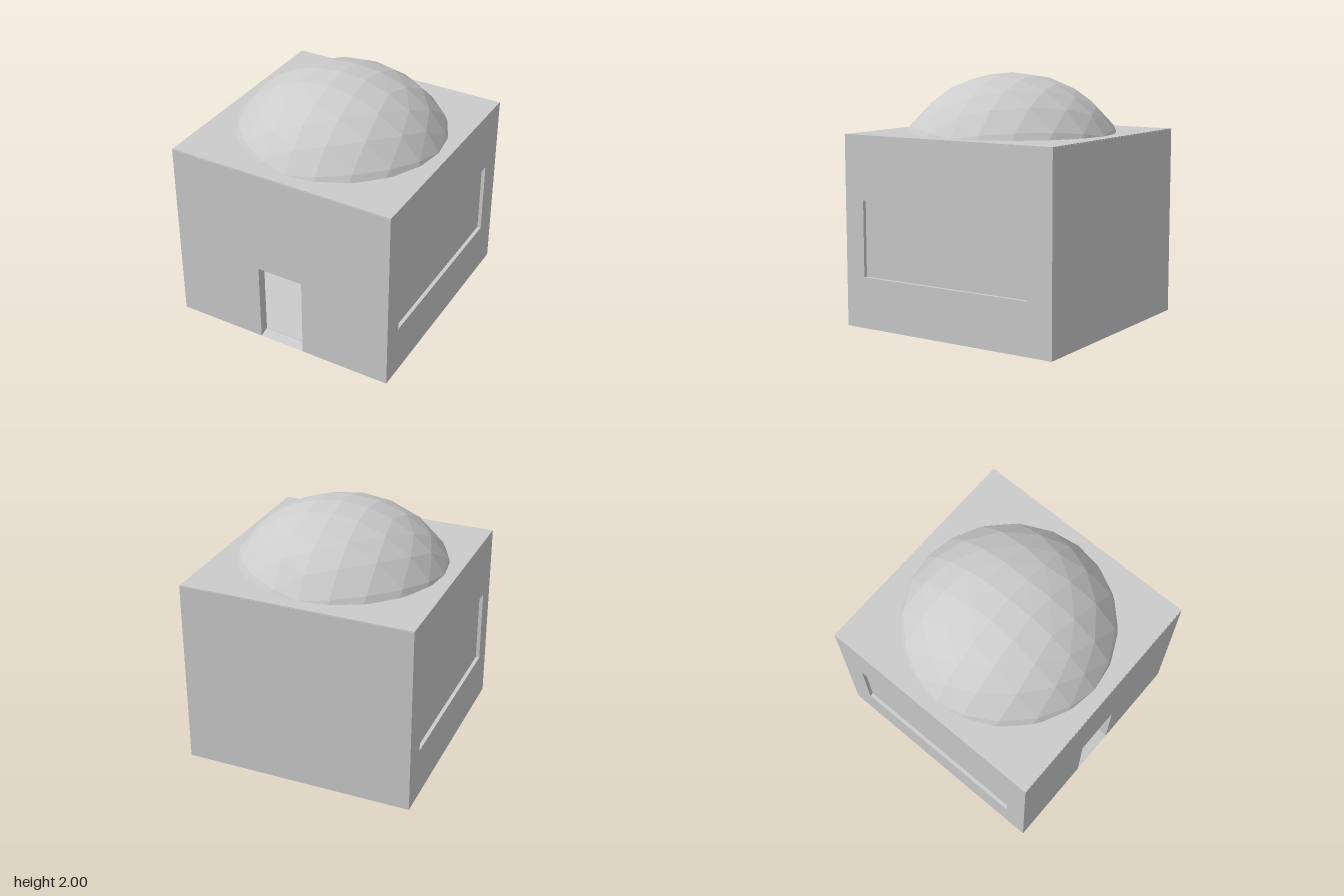
import * as THREE from 'three';

const W = 0.935, D = 0.95, T = 0.08, ROOF = 1.53;   // half width, half depth, wall thickness, roof height
const RECESS = 0.03, FLOOR = 0.02;
const material = new THREE.MeshStandardMaterial({ color: 0xcccccc, flatShading: true });

function add(parent, name, geometry, x = 0, y = 0, z = 0) {
  const mesh = new THREE.Mesh(geometry, material);
  mesh.name = name;
  mesh.position.set(x, y, z);
  parent.add(mesh);
  return mesh;
}

const polygon = (points) => new THREE.Shape(points.map(([x, y]) => new THREE.Vector2(x, y)));
const extrude = (shape, depth) => new THREE.ExtrudeGeometry(shape, { depth, bevelEnabled: false });

// Upper part of an eight-sided geodesic ellipsoid, subdivided by equal angles
function domeGeometry(radius, height, n, lastRing) {
  const positions = [];
  const s = (k) => Math.sin((k / n) * Math.PI / 2);
  for (const sx of [1, -1]) for (const sz of [1, -1]) {
    const point = (i, j) => {
      const p = new THREE.Vector3(s(i), s(n - i - j), s(j)).normalize();
      return [sx * p.x * radius, p.y * height, sz * p.z * radius];
    };
    const triangle = (a, b, c) => positions.push(...a, ...(sx * sz > 0 ? [...b, ...c] : [...c, ...b]));
    for (let i = 0; i < lastRing; i++) for (let j = 0; i + j < lastRing; j++) {
      triangle(point(i, j), point(i, j + 1), point(i + 1, j));
      if (i + j + 2 <= lastRing) triangle(point(i + 1, j), point(i, j + 1), point(i + 1, j + 1));
    }
  }
  const geometry = new THREE.BufferGeometry();
  geometry.setAttribute('position', new THREE.Float32BufferAttribute(positions, 3));
  geometry.computeVertexNormals();
  return geometry;
}

export function createModel() {
  const model = new THREE.Group();
  model.name = 'domedBuilding';
  const wallTop = ROOF - 0.006;

  // Front wall with a doorway reaching the ground
  const left = -0.195, right = 0.19, doorTop = 0.67;
  add(model, 'frontWall', extrude(polygon([
    [-W, 0], [left, 0], [left, doorTop], [right, doorTop], [right, 0], [W, 0], [W, wallTop], [-W, wallTop],
  ]), T), 0, 0, D - T);

  // Sloping door sill
  const sill = extrude(polygon([[0, 0], [T, 0], [T, FLOOR]]), right - left);
  sill.rotateY(Math.PI / 2);
  add(model, 'doorSill', sill, left, 0, D);

  add(model, 'backWall', new THREE.BoxGeometry(2 * W, wallTop, T), 0, wallTop / 2, -D + T / 2);

  // Side walls, each with a shallow blind window
  const inner = D - T;
  for (const side of [1, -1]) {
    const name = side > 0 ? 'left' : 'right';
    add(model, name + 'Wall', new THREE.BoxGeometry(T - RECESS, wallTop, 2 * inner),
      side * (W - RECESS - (T - RECESS) / 2), wallTop / 2, 0);
    const face = polygon([[-inner, 0], [inner, 0], [inner, wallTop], [-inner, wallTop]]);
    const [z0, z1] = [-0.745, 0.775].map((z) => -z).sort((a, b) => a - b);
    face.holes.push(polygon([[z0, 0.41], [z0, 1.02], [z1, 1.02], [z1, 0.41]]));
    const geometry = extrude(face, RECESS);
    geometry.rotateY(Math.PI / 2);          // shape x becomes -z, depth becomes +x
    add(model, name + 'WindowSurround', geometry, side > 0 ? W - RECESS : -W, 0, 0);
  }

  // Floor set slightly above the foot of the walls
  add(model, 'floor', new THREE.BoxGeometry(2 * (W - T), 0.01, 2 * inner), 0, FLOOR - 0.001, 0);

  // Roof: thin cap on the walls and a slab between them
  add(model, 'roofCap', new THREE.BoxGeometry(2 * W, 0.006, 2 * D - 0.008), 0, ROOF - 0.003, 0);
  add(model, 'roofSlab', new THREE.BoxGeometry(2 * (W - T), 0.19, 2 * inner), 0, wallTop - 0.095, 0);

  // Faceted dome
  add(model, 'dome', domeGeometry(0.934, 0.83, 7, 6), 0.004, 1.17, 0);
  return model;
}
